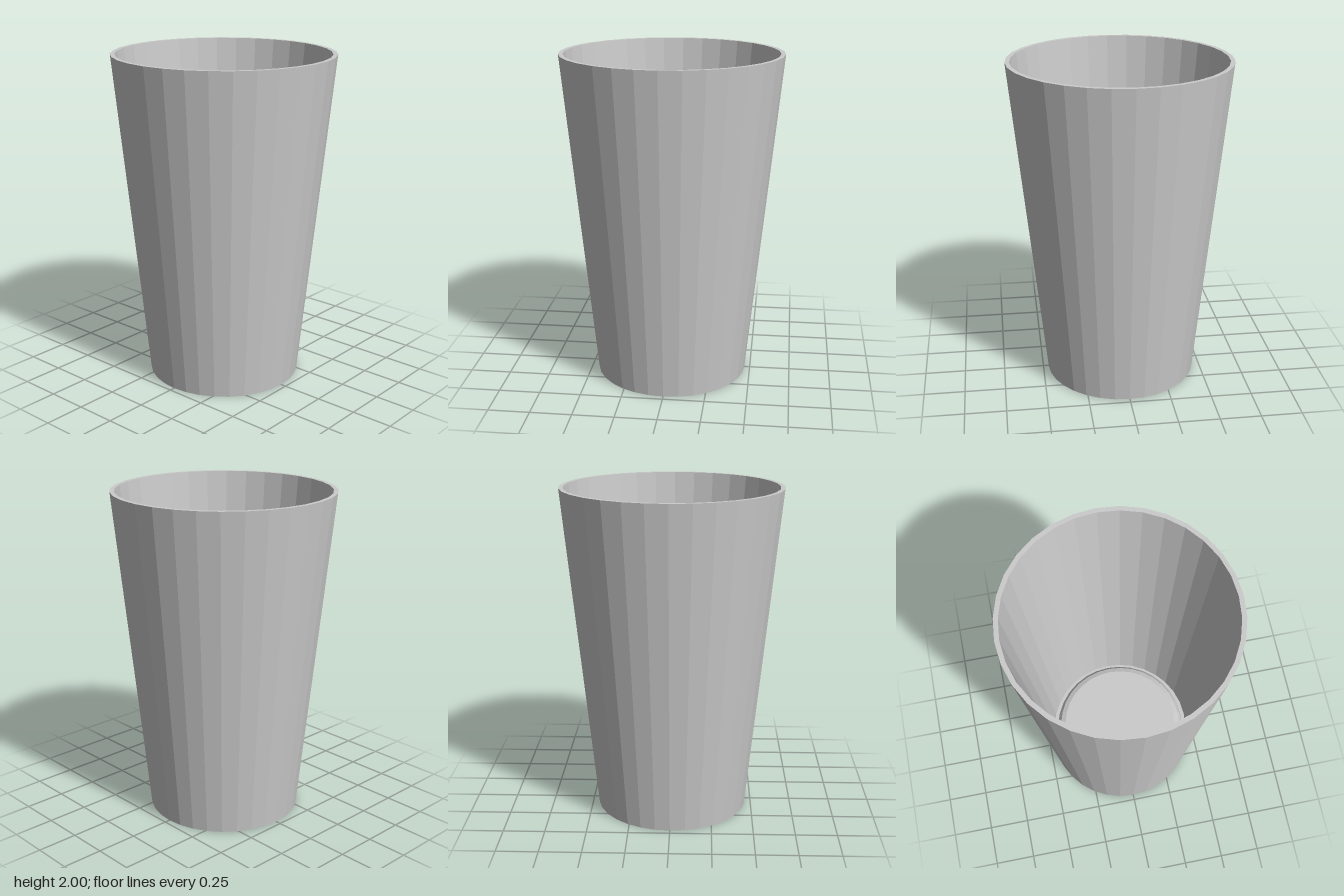
import * as THREE from 'three';

const SIDES = 32;

// Revolve a list of [radius, height] points around the y axis
function revolve(name, points, material) {
  const profile = points.map(([r, y]) => new THREE.Vector2(r, y));
  const mesh = new THREE.Mesh(new THREE.LatheGeometry(profile, SIDES), material);
  mesh.name = name;
  return mesh;
}

export function createModel() {
  const group = new THREE.Group();
  group.name = 'tumbler';
  const material = new THREE.MeshStandardMaterial({ color: 0xcccccc, flatShading: true });

  // Underside: hollow with a rounded shoulder, then the flat standing ring
  group.add(revolve('base', [
    [0, 0.075], [0.344, 0.075], [0.37, 0.062], [0.384, 0.04], [0.39, 0], [0.466, 0],
  ], material));

  // Tapered wall: outside, flat rim, inside
  group.add(revolve('wall', [
    [0.466, 0], [0.666, 2], [0.639, 2], [0.454, 0.14],
  ], material));

  // Inner floor: narrow gutter around a raised, bevelled centre
  group.add(revolve('floor', [
    [0.454, 0.14], [0.43, 0.14], [0.422, 0.185], [0.405, 0.208], [0.375, 0.22], [0, 0.22],
  ], material));

  return group;
}
